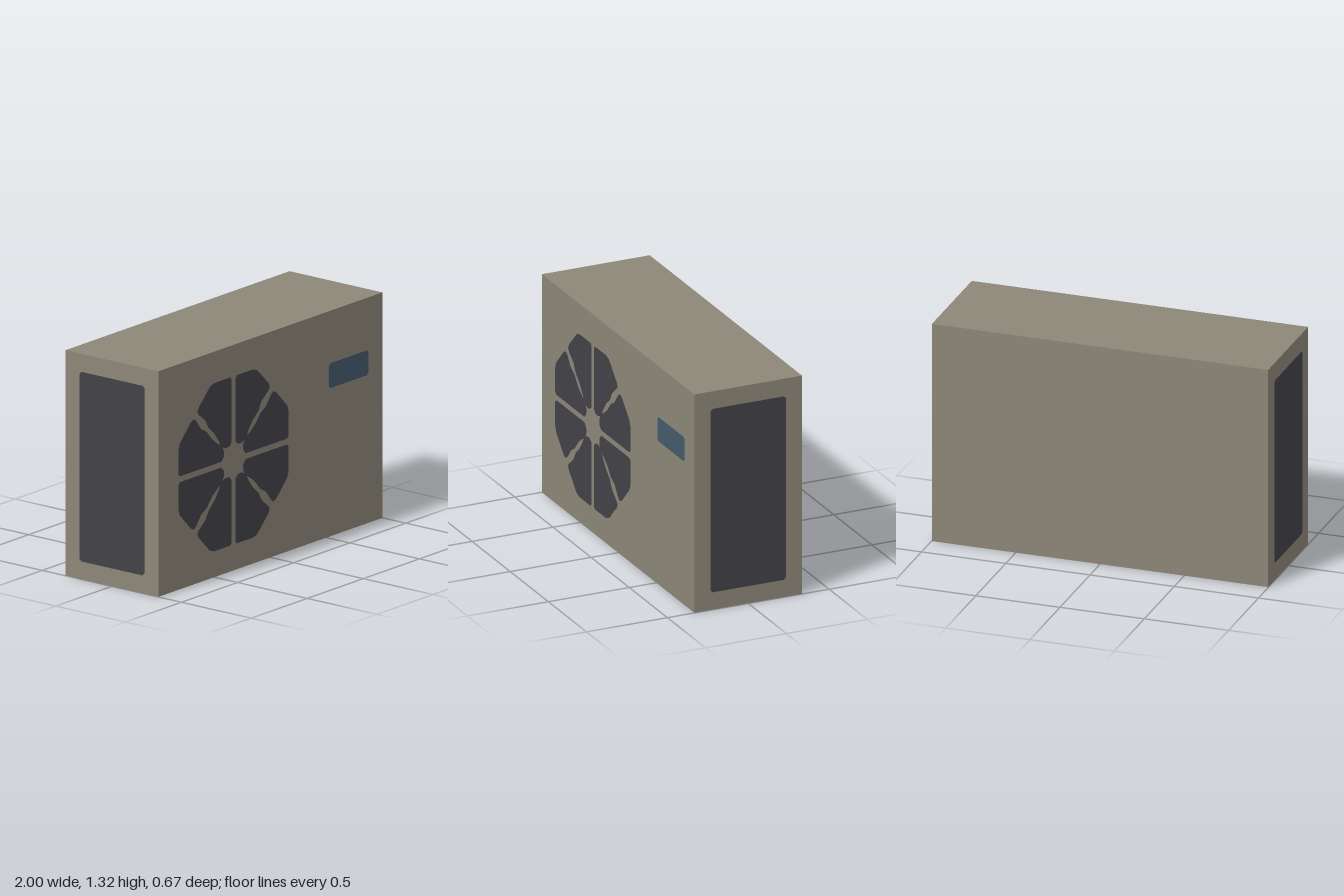
import * as THREE from 'three';

const W = 2, H = 1.315, D = 0.67, T = 0.004;

// Thin plate from outline points, facing +z
function plate(points, material, name) {
  const shape = new THREE.Shape(points.map(([x, y]) => new THREE.Vector2(x, y)));
  const geometry = new THREE.ExtrudeGeometry(shape, { depth: T, bevelEnabled: false });
  const mesh = new THREE.Mesh(geometry, material);
  mesh.name = name;
  return mesh;
}

// Rectangle outline with clipped corners
function panel(w, h, c = 0.012) {
  const x = w / 2, y = h / 2;
  return [[x - c, -y], [x, -y + c], [x, y - c], [x - c, y],
    [-x + c, y], [-x, y - c], [-x, -y + c], [-x + c, -y]];
}

export function createModel() {
  const casing = new THREE.MeshStandardMaterial({ color: 0x8d8778 });
  casing.name = 'casing beige grey';
  const dark = new THREE.MeshStandardMaterial({ color: 0x434248 });
  dark.name = 'vent charcoal';
  const blue = new THREE.MeshStandardMaterial({ color: 0x435b6b });
  blue.name = 'display blue';

  const model = new THREE.Group();
  model.name = 'fanUnit';

  // Casing
  const body = new THREE.Mesh(new THREE.BoxGeometry(W - 0.004, H, D - 0.004), casing);
  body.name = 'casing';
  body.position.y = H / 2;
  model.add(body);

  // Fan grille: eight openings, mirrored about the diagonal and turned in quarters
  const fan = new THREE.Group();
  fan.name = 'fanGrille';
  fan.position.set(-0.33, 0.642, D / 2 - T);
  const opening = [[0.017, 0.475], [0.03, 0.49], [0.175, 0.49], [0.21, 0.478], [0.31, 0.38],
    [0.322, 0.355], [0.31, 0.337], [0.25, 0.29], [0.222, 0.24], [0.17, 0.195],
    [0.135, 0.15], [0.11, 0.105], [0.075, 0.087], [0.04, 0.088], [0.017, 0.11]];
  const mirrored = opening.map(([x, y]) => [y, x]);
  for (let i = 0; i < 4; i++) {
    for (const outline of [opening, mirrored]) {
      const blade = plate(outline, dark, 'fanOpening');
      blade.rotation.z = i * Math.PI / 2;
      fan.add(blade);
    }
  }
  model.add(fan);

  // Display window
  const display = plate(panel(0.35, 0.145), blue, 'display');
  display.position.set(0.695, 0.937, D / 2 - T);
  model.add(display);

  // Side vents
  for (const side of [1, -1]) {
    const vent = plate(panel(0.463, 1.105), dark, side > 0 ? 'leftVent' : 'rightVent');
    vent.rotation.y = side * Math.PI / 2;
    vent.position.set(side * (W / 2 - T), 0.657, 0);
    model.add(vent);
  }
  return model;
}
